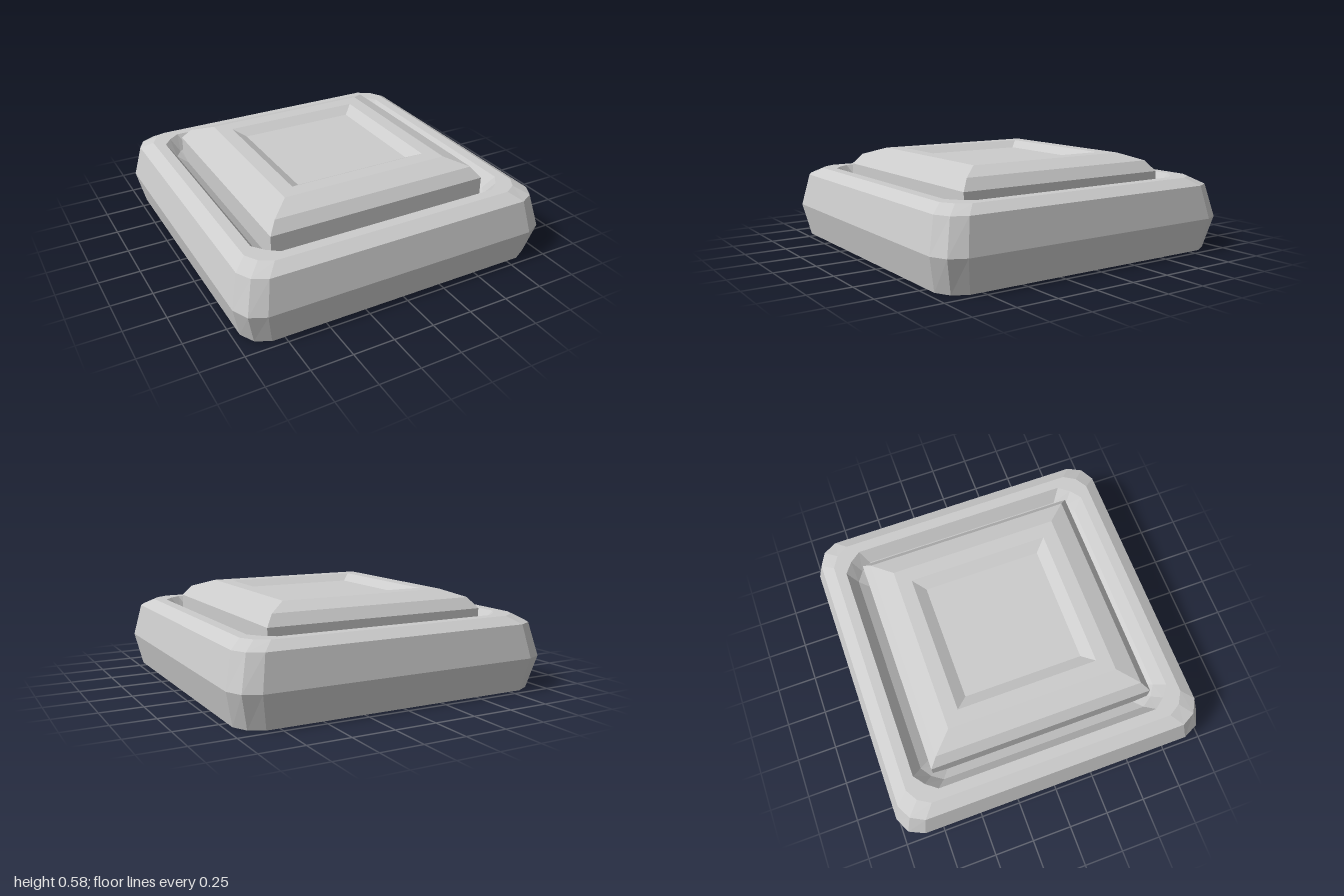
import * as THREE from 'three';

// Square ring with half-width h at height y. Corners are cut by two facets:
// long = distance where the cut starts, inset = how far the middle point moves in.
function ring(h, y, long = 0, inset = 0) {
  const corner = long > 0
    ? [[h, h - long], [h - inset, h - inset], [h - long, h]]
    : [[h, h]];
  const points = [];
  for (let k = 0; k < 4; k++) {
    for (const [px, pz] of corner) {
      let x = px, z = pz;
      for (let t = 0; t < k; t++) [x, z] = [-z, x];
      points.push(new THREE.Vector3(x, y, z));
    }
  }
  return points;
}

// Joins rings in order with flat faces and closes both ends.
function loft(rings) {
  const positions = [];
  const tri = (a, b, c) => {
    for (const p of [a, b, c]) positions.push(p.x, p.y, p.z);
  };
  const n = rings[0].length;
  const first = rings[0];
  const last = rings[rings.length - 1];
  const bottom = new THREE.Vector3(0, first[0].y, 0);
  const top = new THREE.Vector3(0, last[0].y, 0);
  for (let i = 0; i < n; i++) {
    const j = (i + 1) % n;
    tri(bottom, first[i], first[j]);
    for (let r = 0; r < rings.length - 1; r++) {
      const a = rings[r], b = rings[r + 1];
      tri(a[i], b[i], a[j]);
      tri(a[j], b[i], b[j]);
    }
    tri(top, last[j], last[i]);
  }
  const geometry = new THREE.BufferGeometry();
  geometry.setAttribute('position', new THREE.Float32BufferAttribute(positions, 3));
  geometry.computeVertexNormals();
  return geometry;
}

export function createModel() {
  const group = new THREE.Group();
  group.name = 'raisedTile';

  const grey = new THREE.MeshStandardMaterial({ color: 0xcccccc, flatShading: true });
  grey.name = 'light grey';

  const add = (name, rings) => {
    const mesh = new THREE.Mesh(loft(rings), grey);
    mesh.name = name;
    group.add(mesh);
  };

  // Base block: bulging sides, bevelled rim and a sunken groove round the panel
  add('base', [
    ring(0.955, 0, 0.13, 0.045),
    ring(1, 0.2, 0.14, 0.045),
    ring(0.955, 0.4, 0.13, 0.045),
    ring(0.88, 0.445, 0.12, 0.045),
    ring(0.815, 0.445, 0.12, 0.052),
    ring(0.76, 0.365, 0.11, 0.045),
    ring(0.7, 0.325, 0.09, 0.04),
    ring(0.65, 0.32, 0.08, 0.035),
  ]);

  // Raised centre panel: square corners, two bevels and a shallow recess on top
  add('centrePanel', [
    ring(0.7, 0.3),
    ring(0.7, 0.47),
    ring(0.65, 0.535),
    ring(0.53, 0.58),
    ring(0.44, 0.58),
    ring(0.37, 0.54),
  ]);

  return group;
}
